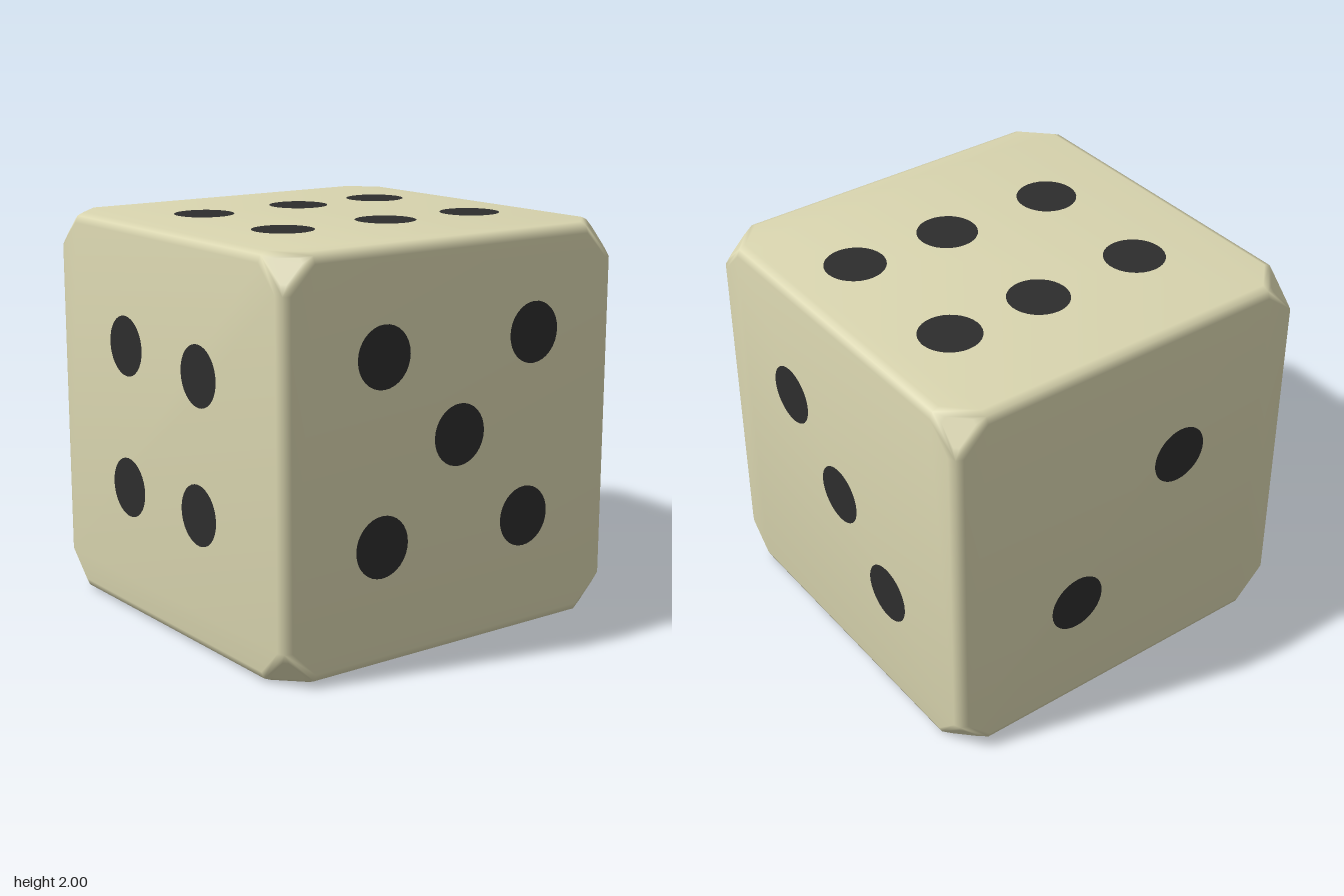
import * as THREE from 'three';
import { ConvexGeometry } from 'three/addons/geometries/ConvexGeometry.js';

// every ordering of three coordinates
const orderings = ([a, b, c]) => [[a, b, c], [a, c, b], [b, a, c], [b, c, a], [c, a, b], [c, b, a]];

// cube with narrow rounded edges and clipped corners
function cubeGeometry() {
  const points = [];
  const profile = [
    [1, 0.95, 0.82],       // rim of the flat faces
    [0.985, 0.985, 0.82],  // middle of the edge bevel
    [0.975, 0.955, 0.87],  // clipped corner
  ];
  for (const sx of [-1, 1]) for (const sy of [-1, 1]) for (const sz of [-1, 1]) {
    for (const p of profile.flatMap(orderings)) {
      points.push(new THREE.Vector3(p[0] * sx, p[1] * sy, p[2] * sz));
    }
  }
  const geometry = new ConvexGeometry(points);

  // soft normals: almost flat on the faces, turning over bevels and corners
  const pos = geometry.attributes.position;
  const n = new THREE.Vector3();
  const weight = (v) => {
    const a = Math.abs(v);
    return Math.sign(v) * (a > 0.99 ? 1 : a > 0.98 ? 0.8 : a > 0.9 ? 0.1 : 0.05);
  };
  for (let i = 0; i < pos.count; i++) {
    const c = [pos.getX(i), pos.getY(i), pos.getZ(i)];
    const corner = c.every((v) => Math.abs(v) > 0.85);
    n.fromArray(c.map(corner ? Math.sign : weight)).normalize();
    geometry.attributes.normal.setXYZ(i, n.x, n.y, n.z);
  }
  return geometry;
}

export function createModel() {
  const ivory = new THREE.MeshStandardMaterial({ color: 0xd9d5af });
  ivory.name = 'ivory';
  const black = new THREE.MeshStandardMaterial({ color: 0x2d2d2d });
  black.name = 'black';

  const group = new THREE.Group();
  group.name = 'die';

  const body = new THREE.Mesh(cubeGeometry(), ivory);
  body.name = 'body';
  body.position.y = 1;
  group.add(body);

  // pips as seen facing each side: [right, up] from the middle of the face
  const H = Math.PI / 2;
  const faces = [
    { name: 'frontPips', turn: [0, 0], pips: [[-0.34, 0.39], [0.32, 0.355], [-0.34, -0.335], [0.305, -0.325]] },
    { name: 'leftPips', turn: [0, H], pips: [[-0.435, 0.49], [0.48, 0.5], [0.02, 0.06], [-0.44, -0.41], [0.44, -0.415]] },
    { name: 'backPips', turn: [0, 2 * H], pips: [[-0.39, 0.37], [0.01, 0], [0.405, -0.36]] },
    { name: 'rightPips', turn: [0, -H], pips: [[0.31, 0.26], [-0.295, -0.37]] },
    { name: 'topPips', turn: [-H, 0], pips: [[-0.4, 0.595], [0.35, 0.62], [-0.4, 0.09], [0.33, 0.095], [-0.39, -0.5], [0.315, -0.51]] },
    { name: 'bottomPips', turn: [H, 0], pips: [[0, 0.045]] },
  ];
  const disc = new THREE.CircleGeometry(0.152, 32);
  for (const { name, turn, pips } of faces) {
    const side = new THREE.Group();
    side.name = name;
    side.position.y = 1;
    side.rotation.set(turn[0], turn[1], 0);
    for (const [x, y] of pips) {
      const pip = new THREE.Mesh(disc, black);
      pip.name = 'pip';
      pip.position.set(x, y, 1.002);
      side.add(pip);
    }
    group.add(side);
  }
  return group;
}
